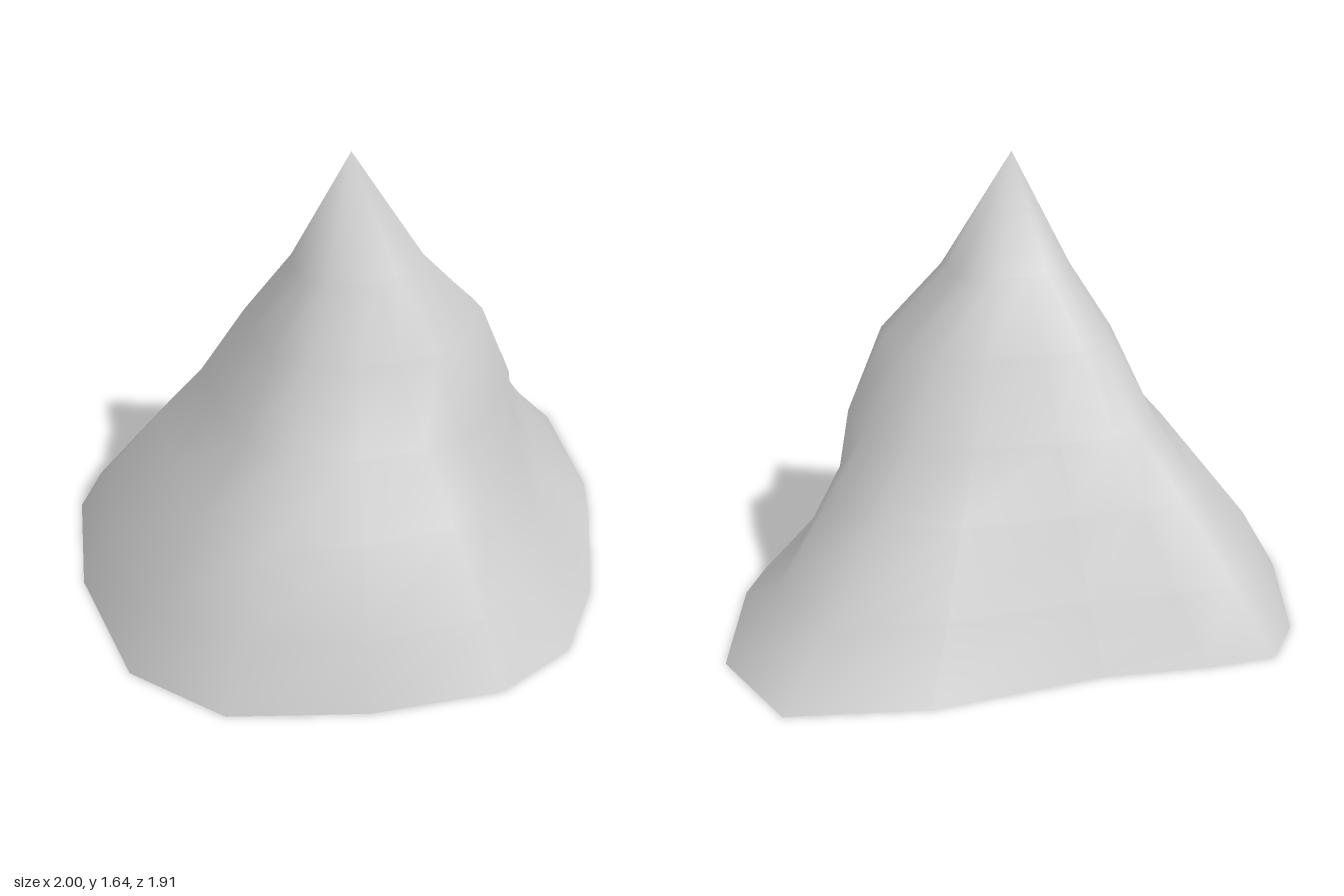
import * as THREE from 'three';

// Foot outline, clockwise from the right (-x) corner: [x, z]
const foot = [
  [-1, -0.13], [-0.95, -0.33], [-0.73, -0.43], [-0.38, -0.55],
  [0.15, -0.83], [0.62, -0.955], [0.91, -0.7], [1, -0.25],
  [0.99, -0.07], [0.93, 0.37], [0.81, 0.66], [0.56, 0.85],
  [0.11, 0.945], [-0.37, 0.955], [-0.71, 0.76], [-0.93, 0.31],
];
const peak = [0.05, 1.64, 0.08];

// Each ring: height, then how far out each column sits between the peak axis and the foot
const rings = [
  { y: 0, out: foot.map(() => 1) },
  { y: 0.23, out: [0.86, 0.84, 0.84, 0.84, 0.82, 0.82, 0.82, 0.77, 0.77, 0.79, 0.81, 0.86, 0.88, 0.88, 0.88, 0.87] },
  { y: 0.5, out: [0.67, 0.65, 0.67, 0.69, 0.65, 0.59, 0.65, 0.63, 0.64, 0.61, 0.6, 0.66, 0.69, 0.72, 0.67, 0.65] },
  { y: 0.72, out: [0.51, 0.48, 0.52, 0.53, 0.48, 0.45, 0.52, 0.59, 0.61, 0.55, 0.5, 0.48, 0.49, 0.51, 0.48, 0.47] },
  { y: 1, out: [0.35, 0.32, 0.36, 0.39, 0.35, 0.33, 0.38, 0.45, 0.49, 0.45, 0.38, 0.33, 0.33, 0.33, 0.34, 0.35] },
  { y: 1.24, out: [0.19, 0.17, 0.18, 0.21, 0.19, 0.18, 0.19, 0.23, 0.26, 0.24, 0.2, 0.19, 0.19, 0.19, 0.2, 0.2] },
];

// Loft the rings and close them with a fan at the peak; the underside stays open
function mountainGeometry() {
  const n = foot.length;
  const positions = [];
  const index = [];
  for (const { y, out } of rings) {
    foot.forEach(([x, z], i) => positions.push(
      THREE.MathUtils.lerp(peak[0], x, out[i]), y, THREE.MathUtils.lerp(peak[2], z, out[i])));
  }
  positions.push(...peak);
  const top = rings.length * n;
  for (let r = 0; r < rings.length; r++) {
    for (let i = 0; i < n; i++) {
      const a = r * n + i;
      const b = r * n + (i + 1) % n;
      if (r === rings.length - 1) index.push(b, a, top);
      else index.push(b, a, a + n, b, a + n, b + n);
    }
  }
  const geometry = new THREE.BufferGeometry();
  geometry.setAttribute('position', new THREE.Float32BufferAttribute(positions, 3));
  geometry.setIndex(index);
  geometry.computeVertexNormals();
  return geometry;
}

export function createModel() {
  const group = new THREE.Group();
  group.name = 'mountain';
  const slopes = new THREE.Mesh(mountainGeometry(),
    new THREE.MeshStandardMaterial({ color: 0xcccccc, side: THREE.DoubleSide }));
  slopes.name = 'slopes';
  group.add(slopes);
  return group;
}
